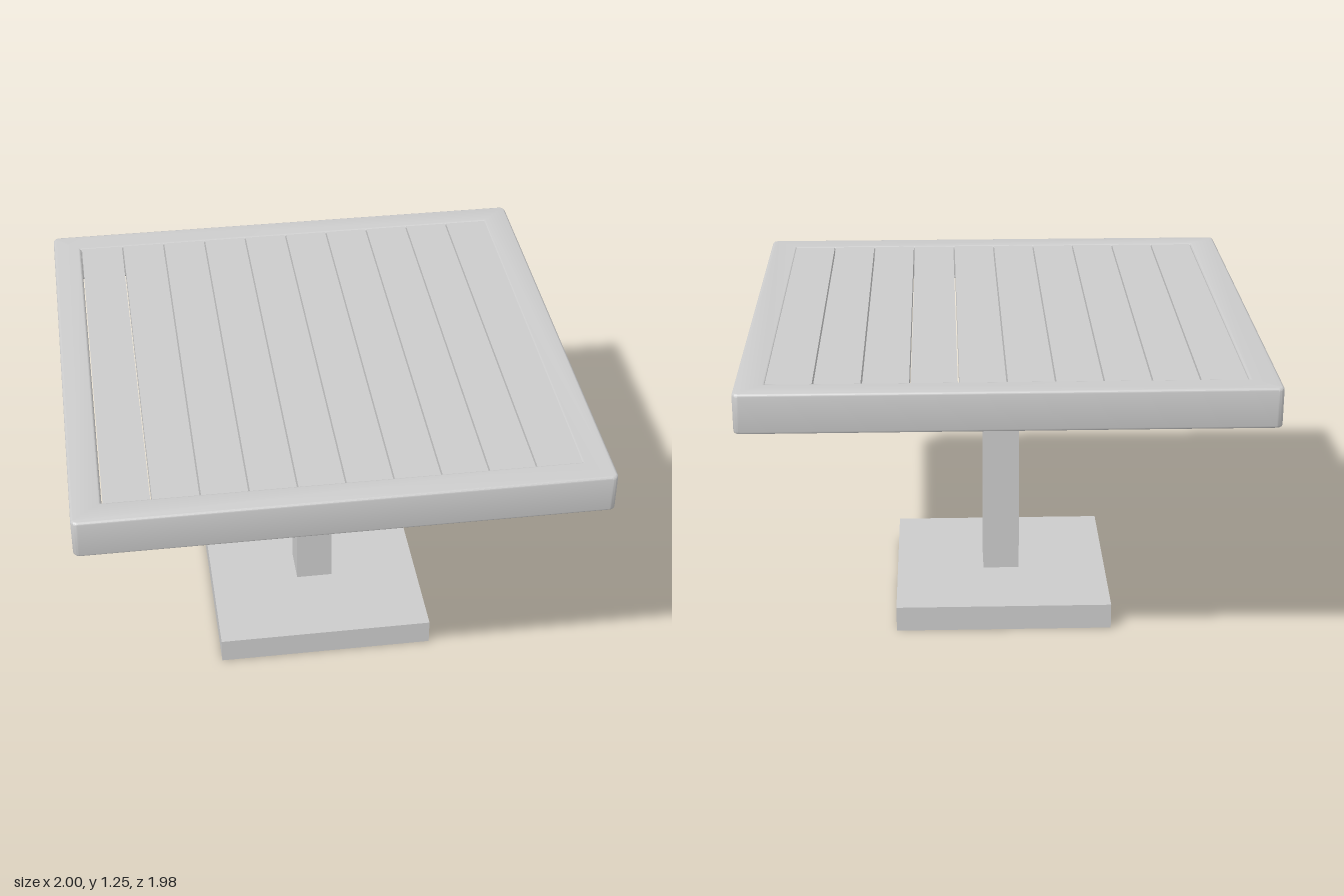
import * as THREE from 'three';
import { toCreasedNormals } from 'three/addons/utils/BufferGeometryUtils.js';

const material = new THREE.MeshStandardMaterial({ color: 0xcccccc });

// Rectangle outline with rounded corners, in half sizes
function roundedRect(path, hx, hy, r) {
  path.moveTo(-hx + r, -hy);
  path.lineTo(hx - r, -hy);
  path.absarc(hx - r, -hy + r, r, -Math.PI / 2, 0);
  path.lineTo(hx, hy - r);
  path.absarc(hx - r, hy - r, r, 0, Math.PI / 2);
  path.lineTo(-hx + r, hy);
  path.absarc(-hx + r, hy - r, r, Math.PI / 2, Math.PI);
  path.lineTo(-hx, -hy + r);
  path.absarc(-hx + r, -hy + r, r, Math.PI, Math.PI * 1.5);
  return path;
}

// Box between two heights
function box(name, width, depth, y0, y1, x = 0) {
  const mesh = new THREE.Mesh(new THREE.BoxGeometry(width, y1 - y0, depth), material);
  mesh.name = name;
  mesh.position.set(x, (y0 + y1) / 2, 0);
  return mesh;
}

export function createModel() {
  const model = new THREE.Group();
  model.name = 'pedestalTable';

  // Square foot and post
  model.add(box('base', 0.88, 0.88, 0, 0.105));
  model.add(box('post', 0.15, 0.15, 0.1, 1.17));

  // Tabletop frame with softened edges
  const bevel = 0.01, y0 = 1.095, y1 = 1.25;
  const outline = roundedRect(new THREE.Shape(), 1, 0.99, 0.025);
  const hole = new THREE.Path();
  hole.moveTo(-0.885, -0.88).lineTo(-0.885, 0.88).lineTo(0.885, 0.88).lineTo(0.885, -0.88).closePath();
  outline.holes.push(hole);
  const frameGeometry = new THREE.ExtrudeGeometry(outline, {
    depth: y1 - y0 - 2 * bevel,
    bevelThickness: bevel, bevelSize: bevel, bevelOffset: -bevel, bevelSegments: 3,
    curveSegments: 6,
  });
  frameGeometry.rotateX(-Math.PI / 2).translate(0, y0 + bevel, 0);
  const frame = new THREE.Mesh(toCreasedNormals(frameGeometry, 0.6), material);
  frame.name = 'tableFrame';
  model.add(frame);

  // Slats running front to back, with narrow gaps
  const slats = new THREE.Group();
  slats.name = 'slats';
  const count = 10, pitch = 1.775 / count, gap = 0.006;
  for (let i = 0; i < count; i++) {
    const x = 0.004 + (i - (count - 1) / 2) * pitch;
    slats.add(box('slat', pitch - gap, 1.77, 1.165, 1.247, x));
  }
  model.add(slats);

  return model;
}
